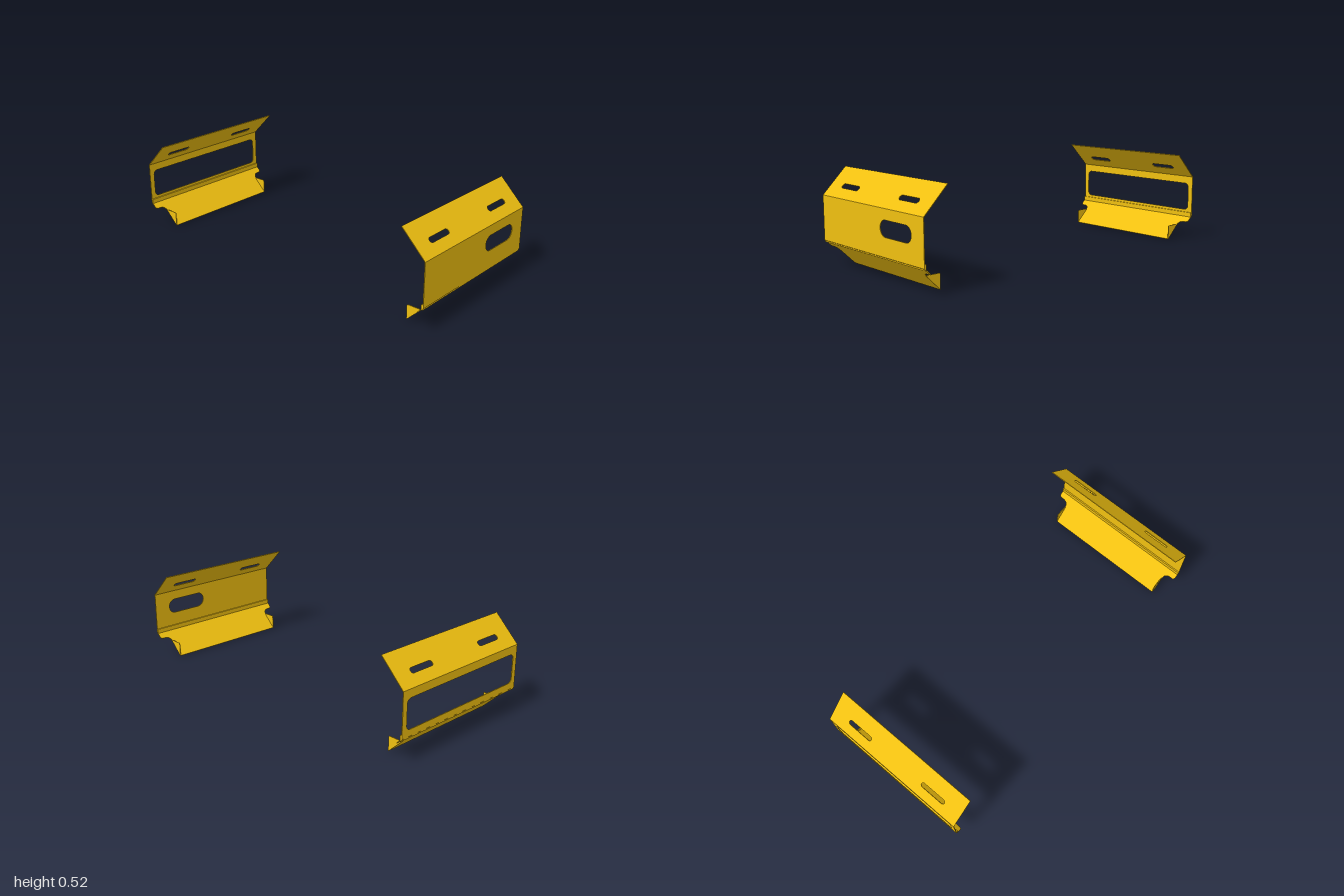
import * as THREE from 'three';

const T = 0.004;          // sheet thickness
const HALF = 0.44;        // half length of the bracket
const material = new THREE.MeshStandardMaterial({ color: 0xf0c010 });

// Rounded rectangle outline, used for plates, slots and windows
function roundedRect(Type, u0, v0, u1, v1, r) {
  const p = new Type();
  p.moveTo(u0 + r, v0);
  p.lineTo(u1 - r, v0);
  p.absarc(u1 - r, v0 + r, r, -Math.PI / 2, 0);
  p.lineTo(u1, v1 - r);
  p.absarc(u1 - r, v1 - r, r, 0, Math.PI / 2);
  p.lineTo(u0 + r, v1);
  p.absarc(u0 + r, v1 - r, r, Math.PI / 2, Math.PI);
  p.lineTo(u0, v0 + r);
  p.absarc(u0 + r, v0 + r, r, Math.PI, Math.PI * 1.5);
  return p;
}

const extrude = (shape) =>
  new THREE.ExtrudeGeometry(shape, { depth: T, bevelEnabled: false, curveSegments: 10 });

// Sheet whose lower edge sits at (x, y) and which rises along (dx, dy); outer face on that line
function sheet(name, shape, x, y, dx, dy) {
  const v = new THREE.Vector3(dx, dy, 0).normalize();
  const u = new THREE.Vector3(0, 0, -1);
  const n = new THREE.Vector3().crossVectors(u, v);
  const geometry = extrude(shape).translate(0, 0, -T);
  geometry.applyMatrix4(new THREE.Matrix4().makeBasis(u, v, n).setPosition(x, y, 0));
  const mesh = new THREE.Mesh(geometry, material);
  mesh.name = name;
  return mesh;
}

// Lower flange outline: narrow at the bottom, filleted notches at both ends
function lowerFlangeShape() {
  const half = [
    [0.367, 0], [0.375, 0.008], [0.375, 0.108], [0.377, 0.122], [0.384, 0.133],
    [0.394, 0.14], [0.406, 0.143], [0.428, 0.143], [0.436, 0.147], [HALF, 0.156], [HALF, 0.194],
  ];
  const mirrored = half.map(([u, v]) => [-u, v]).reverse();
  return new THREE.Shape([...half, ...mirrored].map(([u, v]) => new THREE.Vector2(u, v)));
}

// Triangular end tab, with its free corner rounded
function tabShape() {
  const s = new THREE.Shape();
  s.moveTo(0.86, 0.002);
  s.lineTo(0.935, 0.077);
  s.quadraticCurveTo(0.936, 0.083, 0.928, 0.083);
  s.lineTo(0.868, 0.083);
  s.quadraticCurveTo(0.86, 0.083, 0.86, 0.075);
  s.closePath();
  return s;
}

function bracket(name, opening) {
  const g = new THREE.Group();
  g.name = name;

  // Upper flange with two slots
  const upper = roundedRect(THREE.Shape, -HALF, 0, HALF, 0.198, 0.001);
  for (const c of [-0.255, 0.255]) {
    upper.holes.push(roundedRect(THREE.Path, c - 0.078, 0.063, c + 0.078, 0.092, 0.0144));
  }
  g.add(sheet('upperFlange', upper, 1, 0.375, -1, 1));

  // Upright web with its opening
  const web = roundedRect(THREE.Shape, -HALF, 0, HALF, 0.24, 0.001);
  web.holes.push(opening);
  g.add(sheet('web', web, 1, 0.135, 0, 1));

  // Lower flange
  g.add(sheet('lowerFlange', lowerFlangeShape(), 0.86, 0, 0.14, 0.135));

  // Small lip along the lower bend
  const lip = new THREE.Mesh(new THREE.BoxGeometry(0.009, 0.03, HALF * 2), material);
  lip.position.set(0.9925, 0.14, 0);
  lip.name = 'bendLip';
  g.add(lip);

  // End tabs
  for (const z of [-0.375, 0.375 - T]) {
    const tab = new THREE.Mesh(extrude(tabShape()), material);
    tab.position.z = z;
    tab.name = 'endTab';
    g.add(tab);
  }
  return g;
}

export function createModel() {
  const model = new THREE.Group();
  model.name = 'bracketPair';

  // Left bracket has a short oblong hole, right bracket a large window
  model.add(bracket('leftBracket', roundedRect(THREE.Path, 0.087, 0.099, 0.342, 0.184, 0.0424)));
  const right = bracket('rightBracket', roundedRect(THREE.Path, -0.41, 0.035, 0.41, 0.195, 0.025));
  right.rotation.y = Math.PI;
  model.add(right);
  return model;
}
